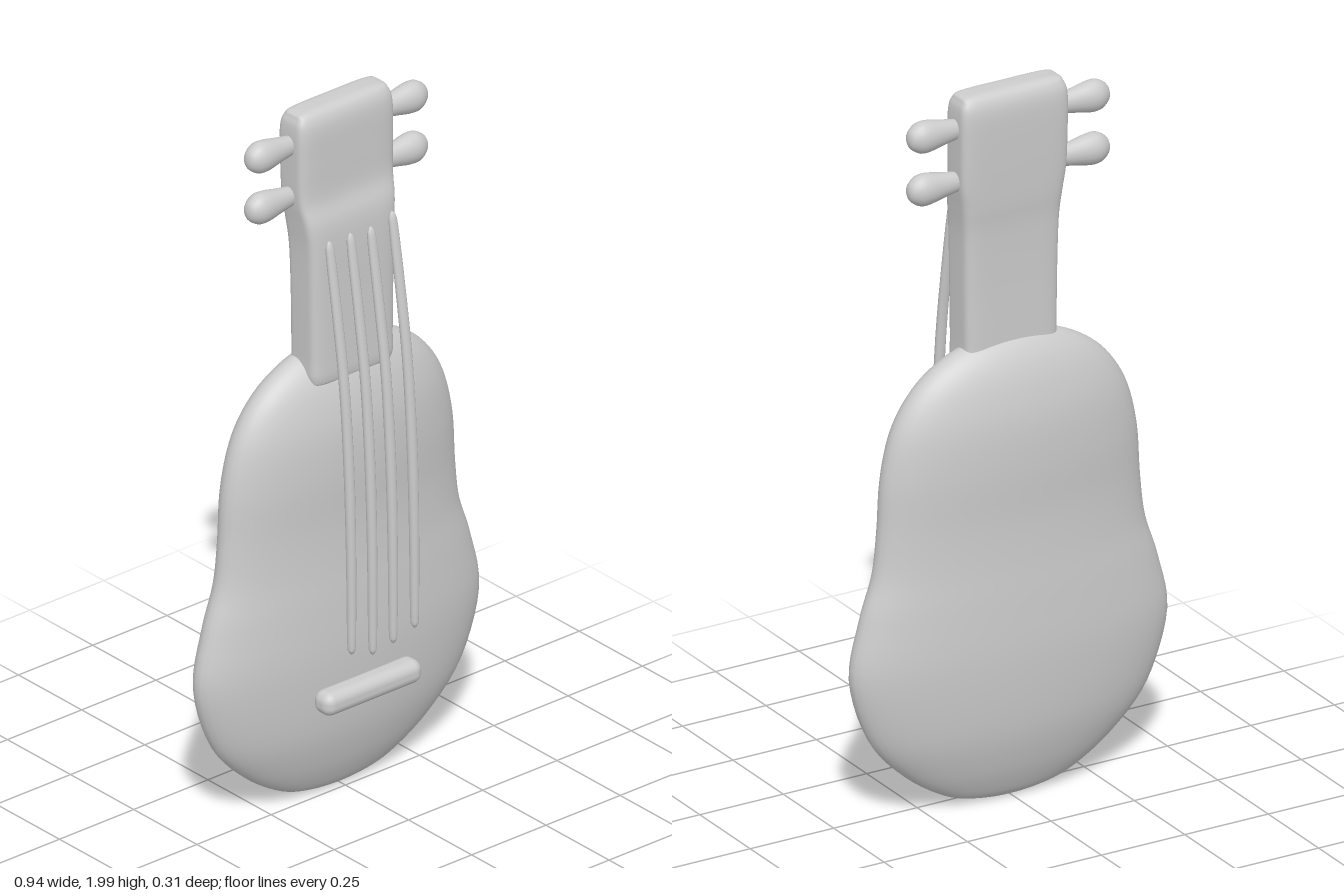
import * as THREE from 'three';
import { RoundedBoxGeometry } from 'three/addons/geometries/RoundedBoxGeometry.js';

const grey = new THREE.MeshStandardMaterial({ color: 0xcccccc });
grey.name = 'lightGrey';

// Smooth loft up the y axis; each section is [centreX, y, centreZ, halfWidth, halfDepth].
// power 2 gives an ellipse, higher values a rounded rectangle.
function loft(sections, power, sides, rings) {
  const spine = new THREE.CatmullRomCurve3(sections.map(s => new THREE.Vector3(s[0], s[1], s[2])), false, 'catmullrom');
  const size = new THREE.CatmullRomCurve3(sections.map(s => new THREE.Vector3(s[3], s[4], 0)), false, 'catmullrom');
  const round = v => Math.sign(v) * Math.pow(Math.abs(v), 2 / power);
  const positions = [], index = [];
  for (let i = 0; i <= rings; i++) {
    const c = spine.getPoint(i / rings), r = size.getPoint(i / rings);
    for (let j = 0; j < sides; j++) {
      const a = (j / sides) * Math.PI * 2;
      positions.push(
        c.x + Math.max(r.x, 0.0004) * round(Math.cos(a)),
        c.y,
        c.z + Math.max(r.y, 0.0004) * round(Math.sin(a)));
    }
  }
  for (let i = 0; i < rings; i++) {
    for (let j = 0; j < sides; j++) {
      const k = (j + 1) % sides;
      const a = i * sides + j, b = i * sides + k, c = a + sides, d = b + sides;
      index.push(a, c, b, b, c, d);
    }
  }
  const g = new THREE.BufferGeometry();
  g.setAttribute('position', new THREE.Float32BufferAttribute(positions, 3));
  g.setIndex(index);
  g.computeVertexNormals();
  return g;
}

function add(parent, name, geometry) {
  const mesh = new THREE.Mesh(geometry, grey);
  mesh.name = name;
  parent.add(mesh);
  return mesh;
}

export function createModel() {
  const model = new THREE.Group();
  model.name = 'smallGuitar';

  // Pillow-like body: [y, halfWidth, halfDepth]
  const bodyProfile = [
    [0.006, 0, 0], [0.012, 0.09, 0.018], [0.04, 0.19, 0.04], [0.12, 0.31, 0.074],
    [0.24, 0.415, 0.103], [0.42, 0.472, 0.117], [0.58, 0.443, 0.115], [0.7, 0.405, 0.11],
    [0.82, 0.39, 0.109], [0.96, 0.38, 0.115], [1.08, 0.352, 0.112], [1.17, 0.303, 0.096],
    [1.235, 0.235, 0.074], [1.28, 0.15, 0.046], [1.298, 0.07, 0.02], [1.303, 0, 0],
  ];
  add(model, 'body', loft(bodyProfile.map(([y, w, d]) => [0, y, -0.037, w, d]), 2, 48, 75));

  // Neck widening into the set-back headstock
  add(model, 'neckAndHeadstock', loft([
    [0, 1.215, -0.013, 0, 0], [0, 1.217, -0.013, 0.115, 0.045], [0, 1.235, -0.013, 0.137, 0.057],
    [0, 1.3, -0.013, 0.138, 0.058], [0, 1.45, -0.013, 0.14, 0.058], [0, 1.6, -0.015, 0.143, 0.06],
    [0, 1.68, -0.021, 0.15, 0.061], [0, 1.75, -0.032, 0.158, 0.054], [0, 1.85, -0.035, 0.16, 0.055],
    [0, 1.94, -0.036, 0.16, 0.055], [0, 1.98, -0.036, 0.152, 0.046], [0, 1.997, -0.036, 0.128, 0.028],
    [0, 2.0, -0.036, 0, 0],
  ], 6, 56, 72));

  // Bridge
  add(model, 'bridge', new RoundedBoxGeometry(0.327, 0.066, 0.07, 4, 0.028)).position.set(-0.002, 0.332, 0.092);

  // Four bowed strings: [topX, bottomY, topY]
  const strings = new THREE.Group();
  strings.name = 'strings';
  model.add(strings);
  [[-0.108, 0.48, 1.65], [-0.037, 0.455, 1.65], [0.032, 0.465, 1.645], [0.104, 0.485, 1.665]].forEach(([x, y0, y1], i) => {
    const at = (t, z, w, d) => [x + 0.004 * (1 - t), y0 + (y1 - y0) * t, z, w, d];
    add(strings, 'string' + (i + 1), loft([
      at(0, 0.147, 0, 0), at(0.008, 0.147, 0.007, 0.007), at(0.04, 0.147, 0.011, 0.011),
      at(0.25, 0.146, 0.013, 0.012), at(0.45, 0.139, 0.014, 0.012), at(0.65, 0.122, 0.014, 0.011),
      at(0.82, 0.095, 0.014, 0.01), at(0.96, 0.069, 0.013, 0.009), at(0.99, 0.064, 0.009, 0.006),
      at(1, 0.062, 0, 0),
    ], 2.5, 12, 36));
  });

  // Teardrop tuning pegs, two on each side
  const pegCurve = new THREE.SplineCurve([
    [0.022, 0.13], [0.028, 0.16], [0.035, 0.2], [0.043, 0.24], [0.042, 0.268], [0.028, 0.29], [0.014, 0.298], [0, 0.3],
  ].map(([r, h]) => new THREE.Vector2(r, h)));
  const pegProfile = pegCurve.getPoints(21);
  pegProfile.forEach(p => { p.x = Math.max(p.x, 0); });
  const pegGeometry = new THREE.LatheGeometry(pegProfile, 20);
  pegGeometry.scale(1, 1, 0.82);
  for (const side of [1, -1]) {
    for (const [level, y] of [['upper', 1.905], ['lower', 1.757]]) {
      const peg = add(model, level + (side > 0 ? 'Left' : 'Right') + 'Peg', pegGeometry);
      peg.position.set(0, y, -0.037);
      peg.rotation.z = -side * Math.PI / 2;
    }
  }
  return model;
}
